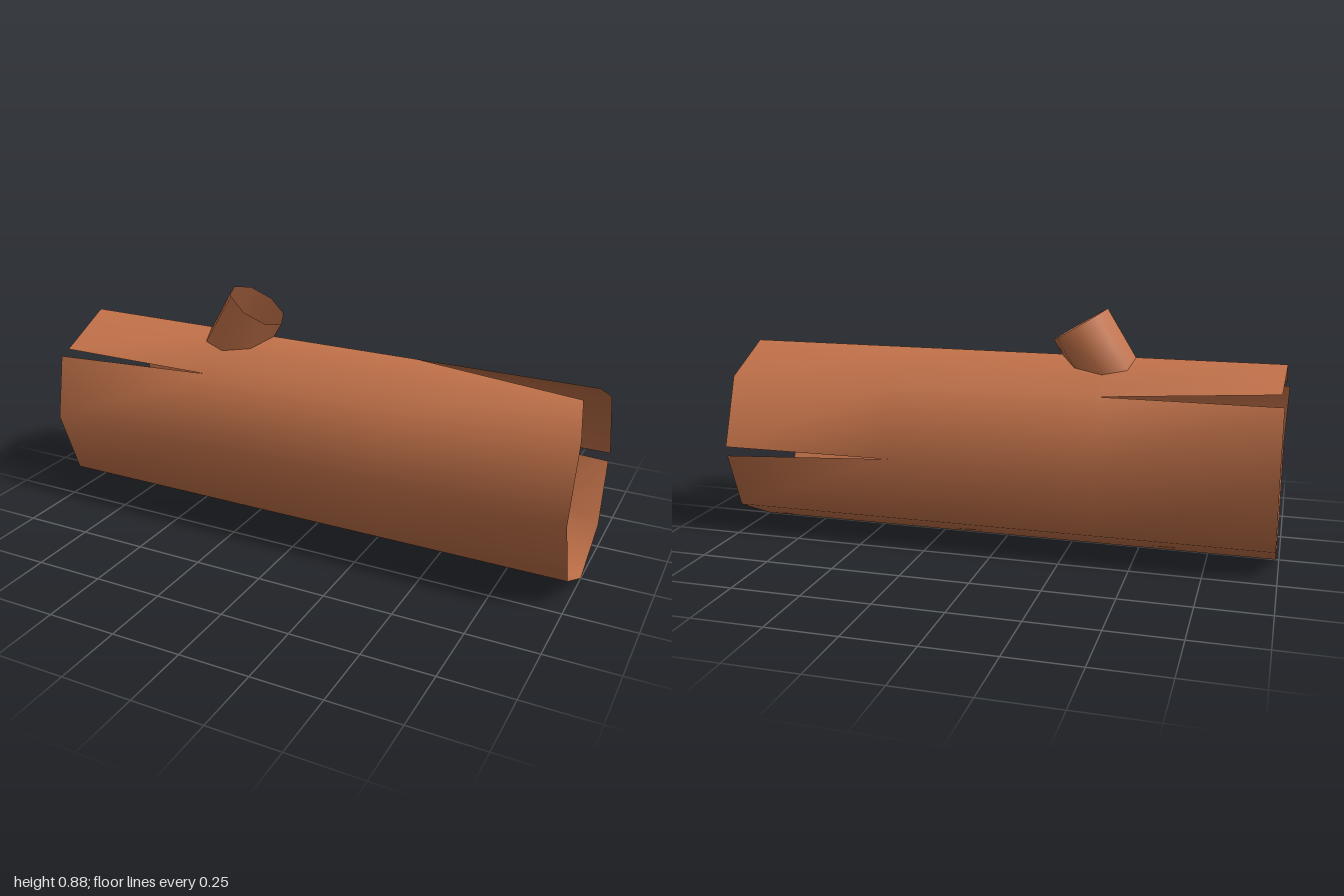
import * as THREE from 'three';

const SIDES = 8;

// Open eight-sided tube along x. Corner 0 is the top, corners run towards +z.
// Each flap moves one corner of one panel away from its neighbour, opening a split.
function splitTube(stations, ry, rz, flaps) {
  const pos = [], index = [];
  const add = (p) => pos.push(...p) / 3 - 1;
  for (const x of stations) {
    for (let i = 0; i < SIDES; i++) {
      const a = (i / SIDES) * Math.PI * 2;
      add([x, Math.cos(a) * ry, Math.sin(a) * rz]);
    }
  }
  const loose = {};
  for (const f of flaps) loose[`${f.row},${f.panel},${f.corner}`] = add(f.at);
  const corner = (row, panel, c) => loose[`${row},${panel},${c}`] ?? row * SIDES + c;

  for (let r = 0; r < stations.length - 1; r++) {
    for (let p = 0; p < SIDES; p++) {
      const q = (p + 1) % SIDES;
      const a = corner(r, p, p), b = corner(r, p, q);
      const c = corner(r + 1, p, p), d = corner(r + 1, p, q);
      index.push(a, b, c, b, d, c);
    }
  }
  const g = new THREE.BufferGeometry();
  g.setAttribute('position', new THREE.Float32BufferAttribute(pos, 3));
  g.setIndex(index);
  g.computeVertexNormals();
  return g;
}

export function createModel() {
  const group = new THREE.Group();
  group.name = 'hollowLog';
  const bark = new THREE.MeshStandardMaterial({ color: 0xc4734a, side: THREE.DoubleSide });
  bark.name = 'bark';

  // Trunk with two splits at each end
  const cy = 0.356;
  const trunk = new THREE.Mesh(splitTube([-0.99, -0.37, 0.36, 1], 0.353, 0.304, [
    { row: 0, panel: 1, corner: 1, at: [-1, 0.585 - cy, 0.246] },
    { row: 0, panel: 7, corner: 7, at: [-0.98, 0.64 - cy, -0.18] },
    { row: 3, panel: 0, corner: 0, at: [0.96, 0.68 - cy, 0.052] },
    { row: 3, panel: 5, corner: 6, at: [0.995, 0.323 - cy, -0.306] },
  ]), bark);
  trunk.name = 'trunk';
  trunk.position.y = cy;
  group.add(trunk);

  // Hollow branch stub leaning towards +x, split on its upper side
  const branch = new THREE.Mesh(splitTube([0, 0.1, 0.24], 0.114, 0.102, [
    { row: 2, panel: 0, corner: 0, at: [0.222, 0.112, 0.014] },
  ]), bark);
  branch.name = 'branchStub';
  branch.position.set(-0.393, 0.615, 0);
  branch.rotation.z = THREE.MathUtils.degToRad(58.5);
  group.add(branch);

  return group;
}
